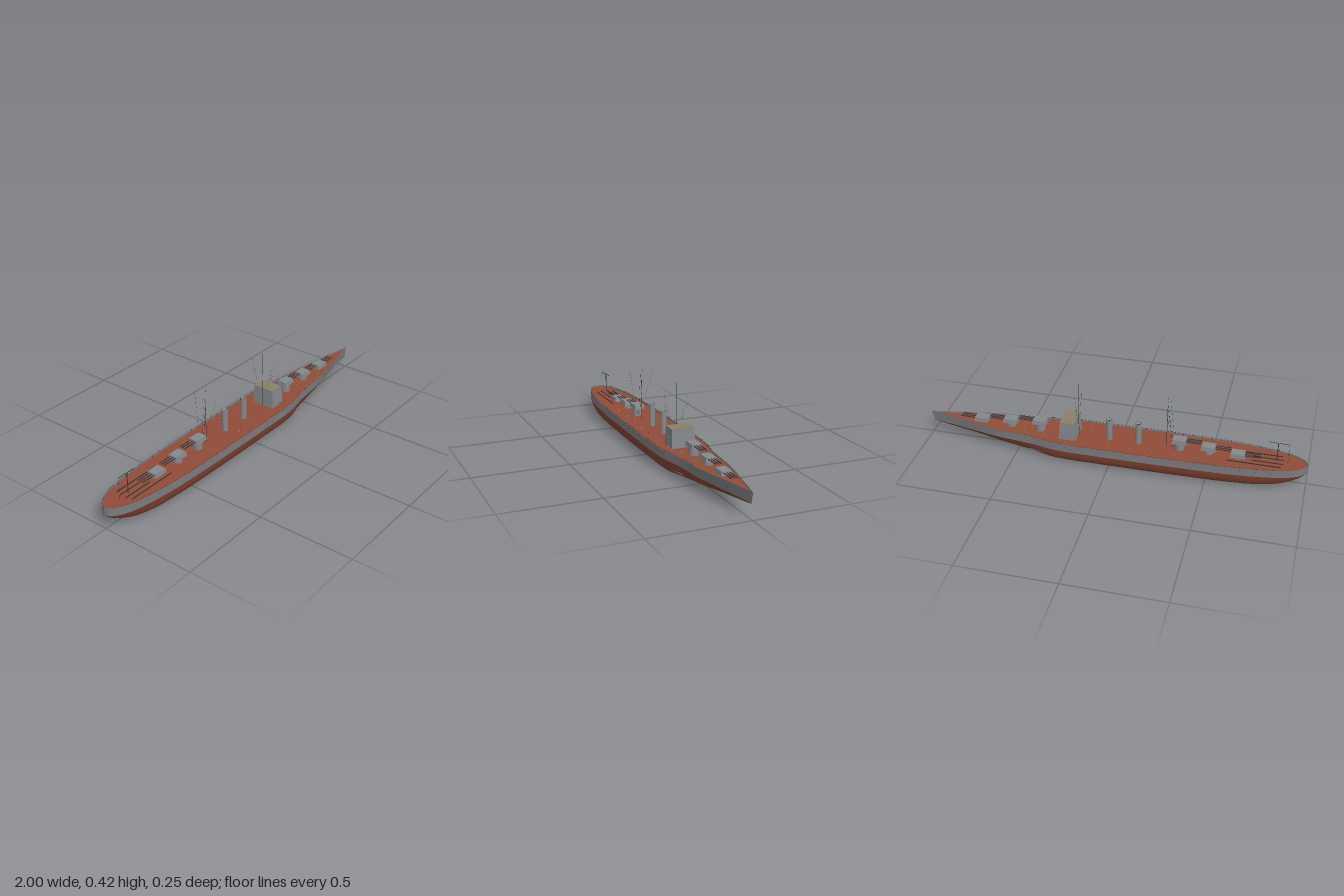
import * as THREE from 'three';

const mat = (name, color, side = THREE.FrontSide) => {
  const m = new THREE.MeshStandardMaterial({ color, side });
  m.name = name;
  return m;
};

// Hull stations: x, half beam, keel height
const STATIONS = [
  [-1, 0.002, 0.072], [-0.992, 0.022, 0.065], [-0.97, 0.044, 0.052], [-0.93, 0.066, 0.035],
  [-0.87, 0.085, 0.016], [-0.78, 0.1, 0.005], [-0.62, 0.115, 0.001], [-0.4, 0.122, 0],
  [-0.15, 0.125, 0], [0.1, 0.125, 0], [0.22, 0.124, 0], [0.31, 0.115, 0.001], [0.4, 0.097, 0.007],
  [0.5, 0.085, 0.015], [0.6, 0.078, 0.023], [0.7, 0.061, 0.034], [0.8, 0.041, 0.045],
  [0.9, 0.019, 0.058], [0.985, 0, 0.072],
];
const WATER = 0.074;
const curve = new THREE.CatmullRomCurve3(STATIONS.map((s) => new THREE.Vector3(...s)), false, 'centripetal');
const samples = Array.from({ length: 109 }, (_, i) => curve.getPoint(i / 108));
const smooth = THREE.MathUtils.smoothstep;
const lerp = THREE.MathUtils.lerp;

const topY = (x) => 0.116 + 0.012 * smooth(x, 0.3, 1);
const rake = (x) => 0.014 * smooth(x, 0.85, 0.985);
const flare = (x) => 1 - 0.2 * smooth(x, 0.45, 0.95);
function beam(x) {
  const i = Math.max(1, samples.findIndex((s) => s.x >= x));
  const a = samples[i - 1], b = samples[i];
  return lerp(a.y, b.y, (x - a.x) / (b.x - a.x));
}

// Skin a grid of points given as rows
function loft(rows) {
  const n = rows[0].length, index = [];
  for (let i = 0; i < rows.length - 1; i++) {
    for (let j = 0; j < n - 1; j++) {
      const a = i * n + j, b = a + n;
      index.push(a, b, b + 1, a, b + 1, a + 1);
    }
  }
  const g = new THREE.BufferGeometry();
  g.setAttribute('position', new THREE.Float32BufferAttribute(rows.flat(2), 3));
  g.setIndex(index);
  g.computeVertexNormals();
  return g;
}

// Box standing on y = 0 whose top is scaled by tx, tz
function taperBox(w, h, d, tx, tz) {
  const g = new THREE.BoxGeometry(w, h, d).translate(0, h / 2, 0).toNonIndexed();
  const p = g.attributes.position;
  for (let i = 0; i < p.count; i++) {
    if (p.getY(i) > h / 2) p.setXYZ(i, p.getX(i) * tx, h, p.getZ(i) * tz);
  }
  g.computeVertexNormals();
  return g;
}

export function createModel() {
  const model = new THREE.Group();
  model.name = 'warship';
  const red = mat('hullRed', 0x824230);
  const deckRed = mat('deckBrown', 0x904c37, THREE.DoubleSide);
  const grey = mat('hullGrey', 0x787d7f, THREE.DoubleSide);
  const light = mat('superstructureGrey', 0x83888b);
  const dark = mat('darkMetal', 0x30363b);
  const tan = mat('roofTan', 0x8a7f69);

  const add = (name, geo, m, x = 0, y = 0, z = 0, parent = model) => {
    const mesh = new THREE.Mesh(geo, m);
    mesh.name = name;
    mesh.position.set(x, y, z);
    parent.add(mesh);
    return mesh;
  };
  // Thin rod between two points
  const rod = (name, a, b, r, m, parent = model) => {
    const p = new THREE.Vector3(...a), q = new THREE.Vector3(...b), d = q.clone().sub(p);
    const mesh = add(name, new THREE.CylinderGeometry(r, r, d.length(), 6), m, 0, 0, 0, parent);
    mesh.position.copy(p).add(q).multiplyScalar(0.5);
    mesh.quaternion.setFromUnitVectors(new THREE.Vector3(0, 1, 0), d.normalize());
    return mesh;
  };

  // Underwater hull: full amidships, V-shaped toward the bow
  const mid = [[0, 0], [0.3, 0], [0.56, 0.01], [0.7, 0.06], [0.8, 0.14], [0.88, 0.28], [0.94, 0.5], [0.98, 0.75], [1, 1]];
  add('lowerHull', loft(samples.map(({ x, y: b, z: k }) => {
    const full = 1 - 0.8 * smooth(x, 0.25, 0.95) - 0.25 * (1 - smooth(x, -1, -0.7));
    const side = mid.map(([w, v]) => [
      x, lerp(k, WATER, v), b * flare(x) * lerp(Math.pow(v, 0.8), w, full),
    ]);
    const mirror = side.slice(1).reverse().map(([px, py, pz]) => [px, py, -pz]);
    return [...mirror, ...side];
  })), red);

  // Grey topsides with bulwark, and the deck set just below its edge
  for (const s of [1, -1]) {
    add('topside', loft(samples.map(({ x, y: b }) => {
      const col = [0, 0.5, 1].map((v) => [
        x + rake(x) * v, lerp(WATER, topY(x), v), s * b * lerp(flare(x), 1, v),
      ]);
      return s > 0 ? col : col.reverse();
    })), grey);
  }
  add('deck', loft(samples.map(({ x, y: b }) => [1, -1].map((s) => [
    x + rake(x) * 0.8, topY(x) - 0.008, s * b * 0.99,
  ]))), deckRed);

  // Rudder and small bilge fins
  add('rudder', taperBox(0.06, 0.055, 0.006, 1.15, 1), grey, -0.912, 0.008, 0);
  for (const s of [1, -1]) {
    const fin = add('bilgeFin', new THREE.BoxGeometry(0.08, 0.004, 0.01), grey, 0.39, 0.032, s * 0.083);
    fin.rotation.y = s * 0.17;
  }

  // Triple gun turrets, stepped up toward the middle of the ship
  for (const [x, base, dir] of [
    [0.39, 0.15, 1], [0.55, 0.134, 1], [0.71, 0.12, 1],
    [-0.35, 0.149, -1], [-0.5, 0.131, -1], [-0.65, 0.114, -1],
  ]) {
    const t = new THREE.Group();
    t.name = 'turret';
    t.position.set(x, base, 0);
    if (dir < 0) t.rotation.y = Math.PI;
    model.add(t);
    const h = base - 0.105;
    add('barbette', new THREE.CylinderGeometry(0.025, 0.025, h, 24), light, 0, -h / 2, 0, t);
    add('gunHouse', taperBox(0.076, 0.022, 0.056, 0.9, 0.88), light, 0, 0, 0, t);
    for (const z of [-0.015, 0, 0.015]) {
      rod('gunBarrel', [0.02, 0.014, z], [0.113, 0.015, z], 0.0026, dark, t);
    }
  }

  // Bridge: sloping lower storey, upper storey and full-width tan roof
  add('bridgeLower', taperBox(0.09, 0.058, 0.128, 0.93, 0.97), light, 0.228, 0.107, 0);
  add('bridgeUpper', taperBox(0.081, 0.039, 0.123, 0.94, 0.97), light, 0.228, 0.165, 0);
  add('bridgeRoof', new THREE.BoxGeometry(0.077, 0.003, 0.12), tan, 0.228, 0.2045, 0);

  // Open-topped funnels
  for (const x of [-0.135, 0.018]) {
    const wall = [[0.016, 0], [0.016, 0.12], [0.0135, 0.12], [0.0135, 0.105], [0, 0.105]];
    add('funnel', new THREE.LatheGeometry(wall.reverse().map((p) => new THREE.Vector2(...p)).reverse(), 24),
      light, x, 0.107, 0);
    add('funnelMouth', new THREE.CircleGeometry(0.0134, 24).rotateX(-Math.PI / 2), dark, x, 0.214, 0);
  }

  // Slim masts with fine wires spread to both sides
  rod('foreMast', [0.18, 0.107, 0], [0.18, 0.415, 0], 0.0012, dark);
  rod('mainMast', [-0.283, 0.107, 0], [-0.283, 0.318, 0], 0.0013, dark);
  rod('mastSpar', [-0.283, 0.268, -0.004], [-0.283, 0.268, 0.004], 0.0015, dark);
  rod('topWire', [-0.283, 0.318, 0], [-0.283, 0.405, 0], 0.0004, dark);
  for (const s of [1, -1]) {
    rod('mainWire', [-0.31, 0.21, s * 0.028], [-0.285, 0.365, s * 0.066], 0.0004, dark);
    rod('mainStay', [-0.315, 0.11, s * 0.005], [-0.283, 0.375, s * 0.005], 0.0004, dark);
    rod('foreWire', [0.18, 0.275, s * 0.052], [0.18, 0.312, s * 0.066], 0.0004, dark);
    rod('foreWire', [0.18, 0.22, s * 0.028], [0.18, 0.365, s * 0.066], 0.0004, dark);
  }

  // Stern crane, flagstaff and deck rails
  rod('cranePost', [-0.845, 0.107, 0], [-0.845, 0.222, 0], 0.002, dark);
  rod('craneArm', [-0.9, 0.221, 0], [-0.795, 0.223, 0], 0.0014, dark);
  rod('sternStaff', [-0.9, 0.107, 0], [-0.9, 0.221, 0], 0.0006, dark);
  for (const s of [1, -1]) {
    add('deckRail', new THREE.BoxGeometry(0.27, 0.004, 0.004), dark, -0.735, 0.111, s * 0.048);
    add('deckRail', new THREE.BoxGeometry(0.16, 0.004, 0.003), dark, -0.8, 0.111, s * 0.018);
  }

  for (const s of [1, -1]) {
    // Light deck guns
    for (let x = -0.45; x <= 0.5; x += 0.115) {
      const z = s * (beam(x) - 0.055);
      add('deckGunMount', new THREE.CylinderGeometry(0.002, 0.003, 0.012, 8), light, x, 0.114, z);
      rod('deckGunBarrel', [x, 0.12, z], [x + 0.002, 0.122, z + s * 0.01], 0.0008, dark);
    }
    // Small portholes along the topsides
    for (let x = -0.9; x <= 0.93; x += 0.075) {
      const y = 0.102, v = (y - WATER) / (topY(x) - WATER);
      const z = beam(x) * lerp(flare(x), 1, v);
      const hole = add('porthole', new THREE.CylinderGeometry(0.0015, 0.0015, 0.002, 10).rotateX(Math.PI / 2),
        dark, x + rake(x) * v, y, s * z);
      hole.rotation.y = -s * Math.atan2(beam(x + 0.01) - beam(x - 0.01), 0.02);
    }
    // Edge railing
    const path = [];
    for (let x = -0.95; x <= 0.6; x += 0.05) {
      const p = [x, topY(x) + 0.004, s * beam(x) * 0.985];
      path.push(new THREE.Vector3(...p));
      rod('railPost', [p[0], p[1] - 0.011, p[2]], p, 0.0007, dark);
    }
    add('handRail', new THREE.TubeGeometry(new THREE.CatmullRomCurve3(path), 100, 0.0004, 4), dark);
  }
  return model;
}
